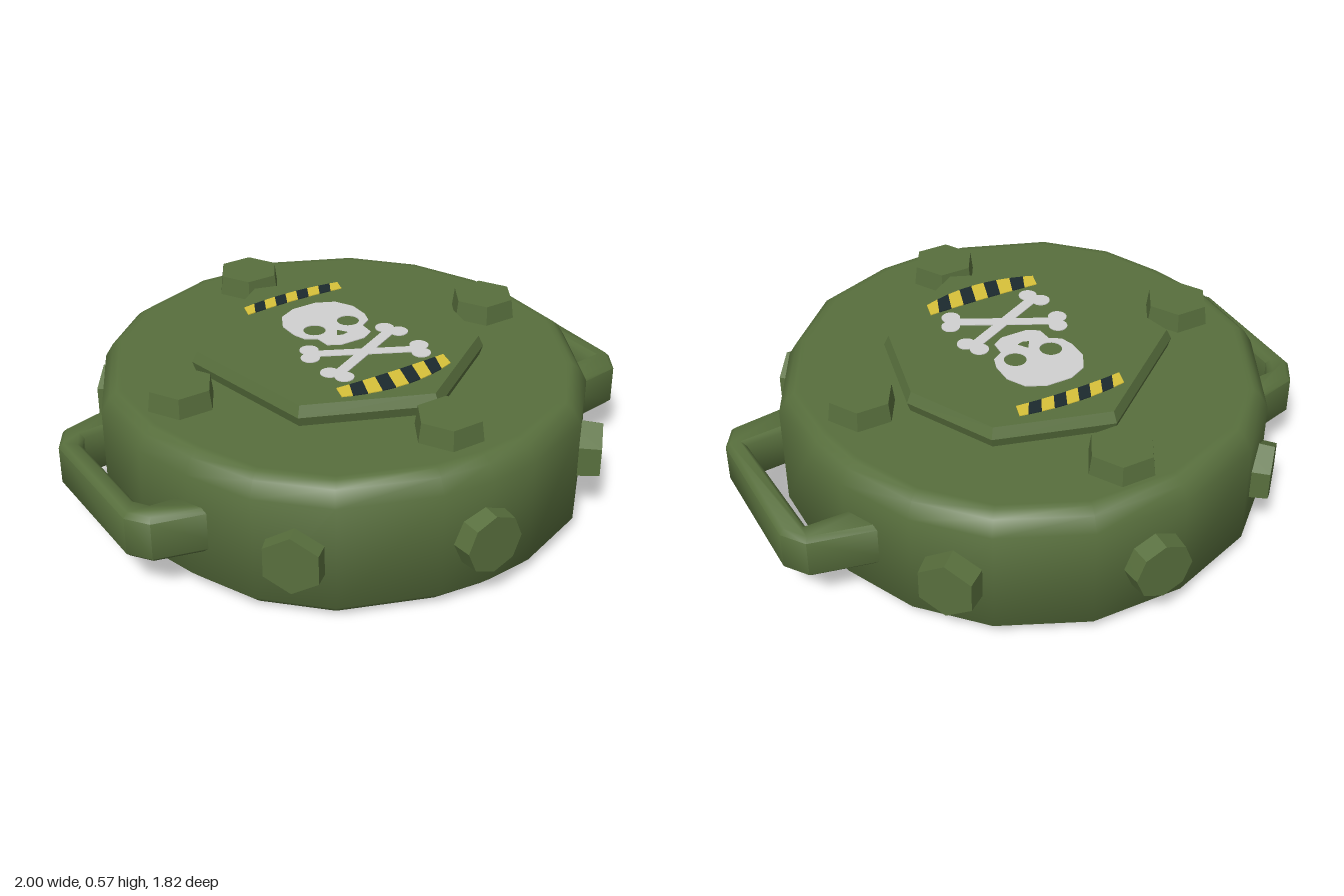
import * as THREE from 'three';
import { toCreasedNormals } from 'three/addons/utils/BufferGeometryUtils.js';

const material = (name, color) => {
  const m = new THREE.MeshStandardMaterial({ color });
  m.name = name;
  return m;
};

export function createModel() {
  const green = material('olive green', 0x586f3d);
  const white = material('pale grey', 0xd0d0d0);
  const yellow = material('warning yellow', 0xd8c23a);
  const dark = material('warning black', 0x1c2a2e);

  const model = new THREE.Group();
  model.name = 'landMine';

  const add = (name, geometry, mat, parent = model) => {
    const mesh = new THREE.Mesh(geometry, mat);
    mesh.name = name;
    parent.add(mesh);
    return mesh;
  };
  const group = (name) => {
    const g = new THREE.Group();
    g.name = name;
    model.add(g);
    return g;
  };

  // Closed solid from one [x, z] outline repeated at [height, scale] rings
  function loft(outline, cx, cz, rings, crease) {
    const pos = [];
    const n = outline.length;
    const at = ([y, s], i) => {
      const [x, z] = outline[i % n];
      return [cx + (x - cx) * s, y, cz + (z - cz) * s];
    };
    const first = rings[0], last = rings[rings.length - 1];
    for (let i = 0; i < n; i++) {
      for (let r = 0; r < rings.length - 1; r++) {
        const a = at(rings[r], i), a2 = at(rings[r], i + 1);
        const b = at(rings[r + 1], i), b2 = at(rings[r + 1], i + 1);
        pos.push(...a2, ...a, ...b, ...a2, ...b, ...b2);
      }
      pos.push(cx, last[0], cz, ...at(last, i + 1), ...at(last, i));
      pos.push(cx, first[0], cz, ...at(first, i), ...at(first, i + 1));
    }
    const g = new THREE.BufferGeometry();
    g.setAttribute('position', new THREE.Float32BufferAttribute(pos, 3));
    return toCreasedNormals(g, crease);
  }

  // Horizontal slab from a shape drawn in x and -z
  function slab(shape, y, height, bevel = 0) {
    const g = new THREE.ExtrudeGeometry(shape, {
      depth: height - 2 * bevel, bevelEnabled: bevel > 0, bevelSize: bevel,
      bevelThickness: bevel, bevelOffset: -bevel, bevelSegments: 1, curveSegments: 10,
    });
    g.rotateX(-Math.PI / 2);
    g.translate(0, y + bevel, 0);
    return g;
  }
  const polygon = (pts) => new THREE.Shape(pts.map(([x, z]) => new THREE.Vector2(x, -z)));
  const circle = (x, z, r, Type = THREE.Shape) => {
    const s = new Type();
    s.absarc(x, -z, r, 0, Math.PI * 2, false);
    return s;
  };

  // Body: uneven many-sided drum with softened rims
  const bodyOutline = [
    [-0.155, -0.845], [0.176, -0.84], [0.47, -0.705], [0.66, -0.5], [0.775, -0.245],
    [0.81, -0.06], [0.81, 0.21], [0.65, 0.52], [0.44, 0.735], [0.16, 0.84], [-0.01, 0.855],
    [-0.19, 0.835], [-0.51, 0.715], [-0.7, 0.525], [-0.8, 0.3], [-0.86, 0.085],
    [-0.855, -0.2], [-0.67, -0.56], [-0.48, -0.73],
  ];
  add('body', loft(bodyOutline, -0.03, 0, [
    [0, 0.92], [0, 0.945], [0.045, 1], [0.42, 1], [0.47, 0.965], [0.49, 0.935], [0.49, 0.91],
  ], 0.9), green);

  // Pressure plate
  const plateOutline = [
    [-0.095, -0.505], [0.305, -0.39], [0.46, -0.08], [0.385, 0.27],
    [0.01, 0.525], [-0.415, 0.345], [-0.52, -0.175],
  ];
  add('pressurePlate', loft(plateOutline, -0.03, 0, [
    [0.48, 0.97], [0.525, 1], [0.563, 0.965],
  ], 0.2), green);

  // Hexagonal bolts, on top and round the side
  const bolt = (sides, length) => {
    const g = new THREE.CylinderGeometry(0.112, 0.124, length, sides).toNonIndexed();
    g.computeVertexNormals();
    return g;
  };
  const topBolts = group('topBolts');
  for (const [x, z] of [[-0.025, -0.65], [-0.025, 0.63], [-0.65, -0.01], [0.59, 0]]) {
    const b = add('topBolt', bolt(6, 0.09), green, topBolts);
    b.rotation.y = Math.PI / 2;
    b.position.set(x, 0.515, z);
  }
  const sideBolts = group('sideBolts');
  const sideSpots = [
    [-0.04, 0.91, 0], [-0.04, -0.91, Math.PI], [0.615, 0.66, 0.85], [0.615, -0.66, Math.PI - 0.85],
    [-0.64, 0.66, -0.82], [-0.64, -0.66, Math.PI + 0.82],
  ];
  for (const [x, z, angle] of sideSpots) {
    const b = add('sideBolt', bolt(x === -0.04 ? 8 : 6, 0.14), green, sideBolts);
    b.geometry.scale(0.93, 1, 0.93).rotateX(Math.PI / 2).translate(0, 0, -0.07);
    b.rotation.y = angle;
    b.position.set(x, 0.225, z);
  }

  // Carrying handles
  const handle = (name, pts) =>
    add(name, toCreasedNormals(slab(polygon(pts), 0.152, 0.166, 0.016), 0.9), green);
  handle('leftHandle', [
    [0.66, -0.39], [0.94, -0.33], [0.997, -0.25], [0.997, 0.26], [0.945, 0.345], [0.66, 0.385],
    [0.66, 0.26], [0.93, 0.235], [0.91, -0.25], [0.66, -0.25],
  ]);
  handle('rightHandle', [
    [-0.7, -0.405], [-0.945, -0.34], [-1, -0.25], [-1, 0.25], [-0.945, 0.325], [-0.7, 0.385],
    [-0.7, 0.25], [-0.9, 0.235], [-0.93, 0.19], [-0.93, -0.21], [-0.9, -0.265], [-0.7, -0.28],
  ]);

  // Painted marks lie as thin plates on the pressure plate
  const paint = (name, shape, mat, parent) => add(name, slab(shape, 0.562, 0.004), mat, parent);

  // Skull with eye and nose openings
  const skull = polygon([
    [-0.065, -0.262], [0.03, -0.262], [0.095, -0.23], [0.13, -0.165], [0.13, -0.09],
    [0.115, -0.045], [0.075, -0.02], [0.072, 0.035], [0.03, 0.06], [-0.065, 0.06],
    [-0.108, 0.035], [-0.112, -0.02], [-0.15, -0.045], [-0.165, -0.09], [-0.165, -0.165],
    [-0.13, -0.23],
  ]);
  skull.holes.push(
    circle(-0.087, -0.08, 0.039, THREE.Path),
    circle(0.052, -0.08, 0.039, THREE.Path),
    polygon([[-0.02, -0.04], [0.003, -0.005], [-0.02, 0.002], [-0.043, -0.005]]),
  );
  paint('skull', skull, white);

  // Crossed bones with two knobs at each end
  const bones = group('crossedBones');
  const cx = -0.025, cz = 0.145, ex = 0.168, ez = 0.086;
  const len = Math.hypot(ex, ez);
  for (const side of [1, -1]) {
    const nx = -ez * side / len, nz = ex / len;
    const corner = (end, w) => [cx + end * ex + nx * w, cz + end * ez * side + nz * w];
    paint('boneShaft', polygon([
      corner(-1, -0.02), corner(1, -0.02), corner(1, 0.02), corner(-1, 0.02),
    ]), white, bones);
    for (const end of [-1, 1]) for (const w of [-0.028, 0.028])
      paint('boneKnob', circle(...corner(end, w), 0.033), white, bones);
  }

  // Slanted hazard stripes on bowed bands
  function hazardBand(name, x0, x1, zTop, zBottom, bowTop, bowBottom, count) {
    const band = group(name);
    const step = (x1 - x0) / count, slant = 0.015;
    const mid = (x0 + x1) / 2, half = (x1 - x0) / 2;
    const edge = (x, z, bow) => [x, z + bow * ((x - mid) / half) ** 2];
    const clampX = (x) => Math.min(x1, Math.max(x0, x));
    for (let i = 0; i < count; i++) {
      const a = x0 + i * step, b = a + step;
      paint('stripe', polygon([
        edge(clampX(a + slant), zTop, bowTop), edge(clampX(b + slant), zTop, bowTop),
        edge(clampX(b - slant), zBottom, bowBottom), edge(clampX(a - slant), zBottom, bowBottom),
      ]), i % 2 ? dark : yellow, band);
    }
  }
  hazardBand('rearHazardBand', -0.22, 0.19, -0.385, -0.322, 0.02, 0.01, 9);
  hazardBand('frontHazardBand', -0.26, 0.185, 0.312, 0.408, -0.006, -0.045, 9);

  return model;
}
